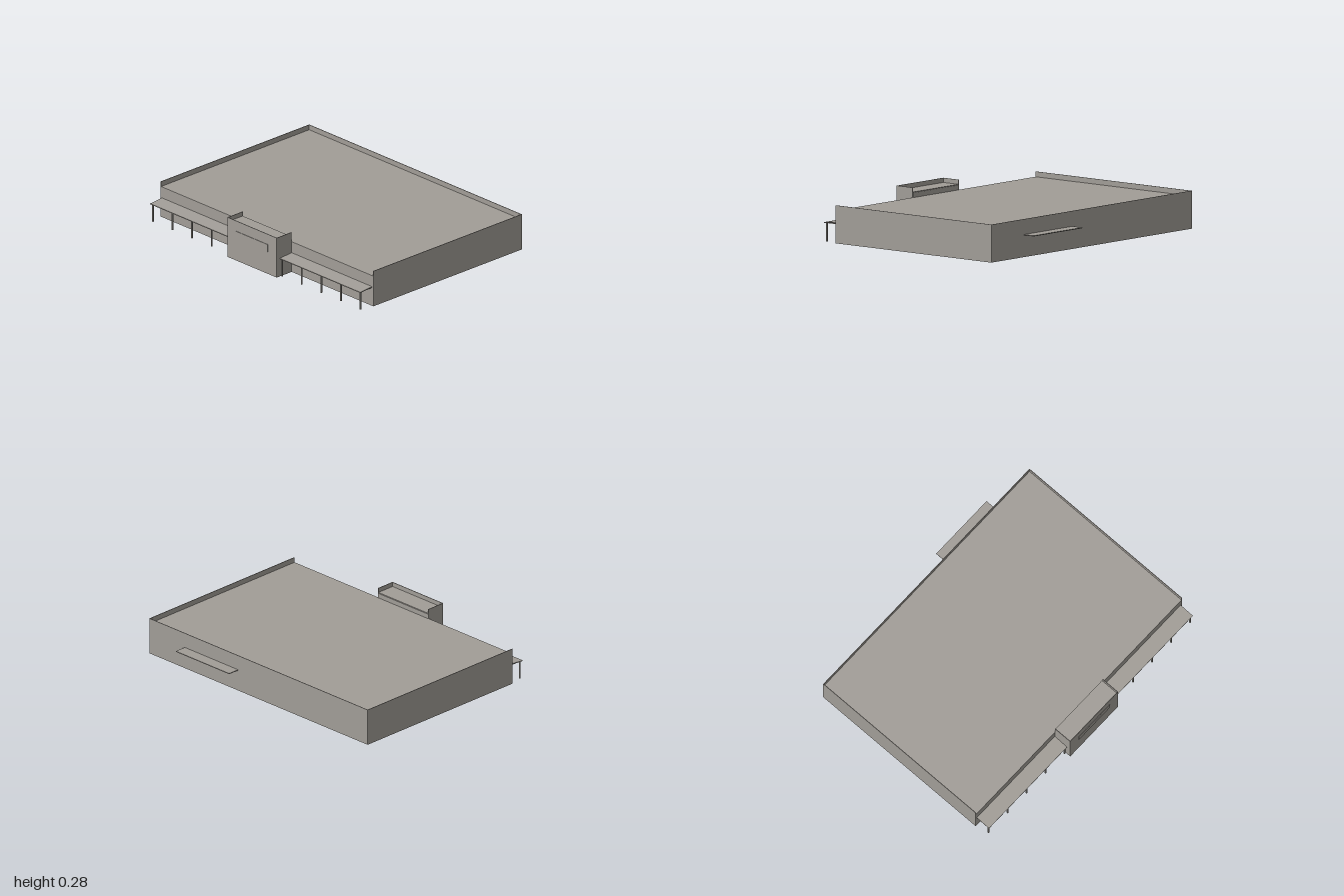
import * as THREE from 'three';

export function createModel() {
  const model = new THREE.Group();
  const concrete = new THREE.MeshStandardMaterial({ color: 0xa19d97, side: THREE.DoubleSide });
  concrete.name = 'warm grey concrete';

  // Box given by its extents on each axis
  function block(name, [x0, x1], [y0, y1], [z0, z1], parent = model) {
    const mesh = new THREE.Mesh(new THREE.BoxGeometry(x1 - x0, y1 - y0, z1 - z0), concrete);
    mesh.position.set((x0 + x1) / 2, (y0 + y1) / 2, (z0 + z1) / 2);
    mesh.name = name;
    parent.add(mesh);
    return mesh;
  }

  const T = 0.004; // wall thickness
  const back = -0.693, front = 0.638, roofY = 0.214, wallTop = 0.249;
  const entryX = 0.232, entryFront = 0.772, entryTop = 0.28, entryRoof = 0.25;

  // Main hall: open underneath, parapet on the back and sides only
  block('mainRoof', [-1 + T, 1 - T], [roofY - T, roofY], [back + T, front]);
  block('backWall', [-1, 1], [0, wallTop], [back, back + T]);

  // Entrance block, open to the hall
  block('entranceFront', [-entryX, entryX], [0, entryTop], [entryFront - T, entryFront]);
  block('entranceRoof', [-entryX + T, entryX - T], [entryRoof - T, entryRoof], [front, entryFront - T]);
  block('entranceBackUpstand', [-entryX + T, entryX - T], [roofY - T, entryRoof - T], [front - T, front]);
  block('signPanel', [-0.15, 0.15], [0.155, 0.208], [entryFront, entryFront + 0.003]);

  // Sloping canopy section, x = depth (z), y = height
  const slope = new THREE.Shape();
  slope.moveTo(0.625, 0.13);
  slope.lineTo(0.744, 0.123);
  slope.lineTo(0.744, 0.128);
  slope.lineTo(0.625, 0.137);
  slope.closePath();
  const canopyGeometry = new THREE.ExtrudeGeometry(slope, { depth: 0.988 - entryX, bevelEnabled: false });
  canopyGeometry.rotateY(-Math.PI / 2); // depth to z, extrusion towards -x

  for (const [side, s] of [['left', 1], ['right', -1]]) {
    const span = (a, b) => (s > 0 ? [a, b] : [-b, -a]);
    block(side + 'Wall', span(1 - T, 1), [0, wallTop], [back, front]);
    block(side + 'FrontWall', span(entryX, 1), [0, roofY], [front - T, front]);
    block(side + 'EntranceWall', span(entryX - T, entryX), [0, entryTop], [front, entryFront]);

    // Covered walk beside the entrance
    const walk = new THREE.Group();
    walk.name = side + 'CoveredWalk';
    model.add(walk);
    const canopy = new THREE.Mesh(canopyGeometry, concrete);
    canopy.position.x = s > 0 ? 0.988 : -entryX;
    canopy.name = side + 'Canopy';
    walk.add(canopy);
    for (let i = 0; i < 5; i++) {
      const x = 0.24 + i * 0.184;
      block('post', span(x - 0.004, x + 0.004), [0, 0.124], [0.726, 0.734], walk);
      block('bracket', span(x - 0.004, x + 0.004), [0.122, 0.126], [front, 0.73], walk);
    }
  }

  // Flat awning on the back wall
  block('backAwning', [0.187, 0.675], [0.143, 0.148], [-0.775, back]);

  return model;
}
